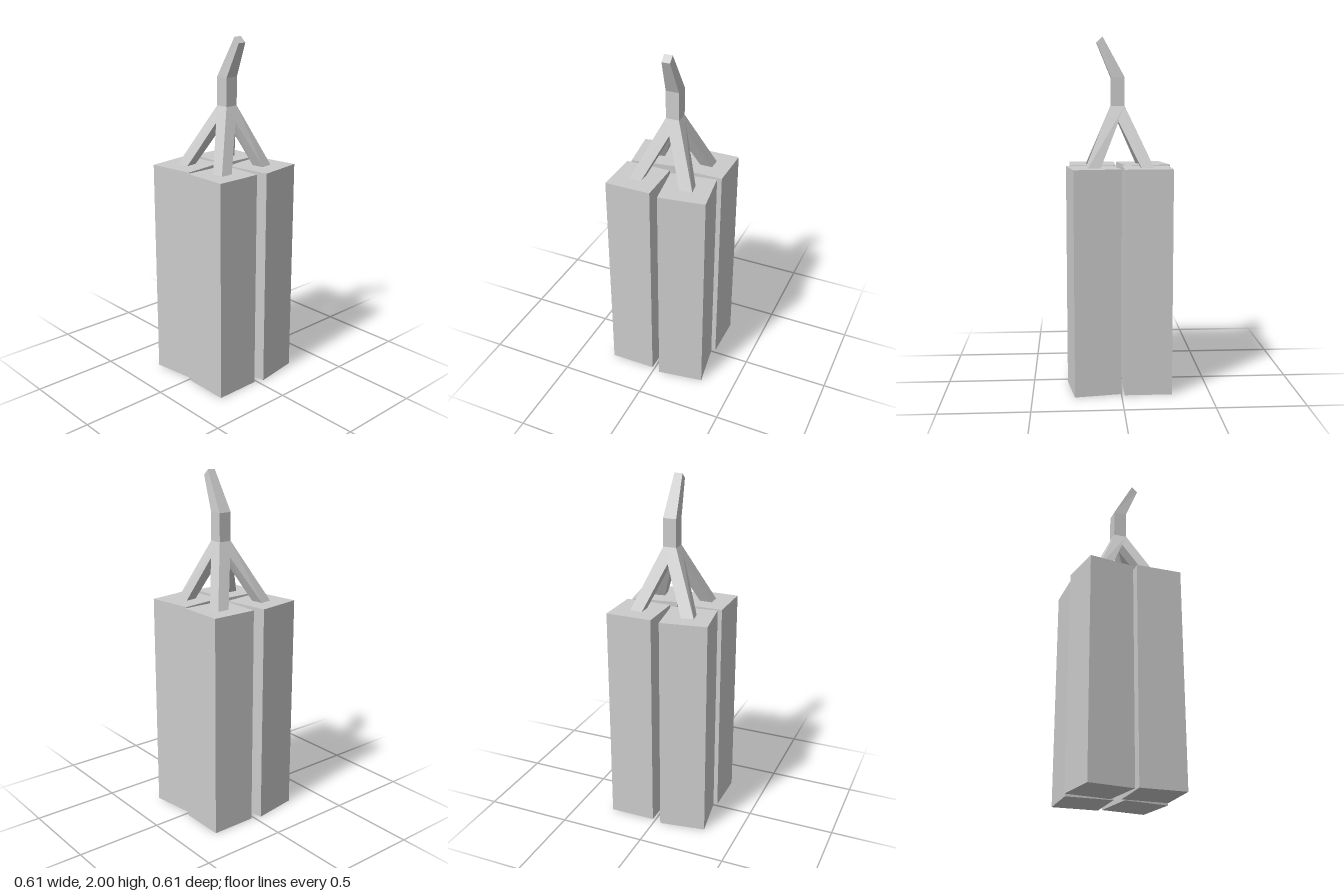
import * as THREE from 'three';

const material = new THREE.MeshStandardMaterial({ color: 0xcccccc, flatShading: true });

// Closed four-sided prism through a list of sections (corners counter-clockwise from above)
function loft(name, sections) {
  const pos = [];
  const quad = (a, b, c, d) => pos.push(...a, ...b, ...c, ...a, ...c, ...d);
  for (let s = 0; s < sections.length - 1; s++) {
    const lo = sections[s], hi = sections[s + 1];
    for (let i = 0; i < 4; i++) {
      const j = (i + 1) % 4;
      quad(lo[i], lo[j], hi[j], hi[i]);
    }
  }
  quad(...[...sections[0]].reverse());
  quad(...sections[sections.length - 1]);
  const geo = new THREE.BufferGeometry();
  geo.setAttribute('position', new THREE.Float32BufferAttribute(pos, 3));
  geo.computeVertexNormals();
  const mesh = new THREE.Mesh(geo, material);
  mesh.name = name;
  return mesh;
}

// Horizontal square section, turned about its centre
function square(cx, y, cz, half, turn = 0) {
  const c = Math.cos(turn), s = Math.sin(turn);
  return [[-1, -1], [-1, 1], [1, 1], [1, -1]].map(([u, v]) => [
    cx + half * (u * c + v * s), y, cz + half * (v * c - u * s)]);
}

export function createModel() {
  const group = new THREE.Group();
  const blockTop = 1.275, joint = 1.615, bend = 1.775;
  const neck = (y) => square(0.008, y, -0.014, 0.0385);

  // Four tall blocks, two of them slightly turned, each with a strut to the stem
  const blocks = [
    ['backRight', -0.151, -0.151, 0],
    ['backLeft', 0.151, -0.151, 0.152],
    ['frontRight', -0.151, 0.151, 0.152],
    ['frontLeft', 0.15, 0.149, 0],
  ];
  for (const [name, x, z, turn] of blocks) {
    const block = new THREE.Mesh(new THREE.BoxGeometry(0.267, blockTop, 0.267), material);
    block.name = name + 'Block';
    block.position.set(x, blockTop / 2, z);
    block.rotation.y = turn;
    group.add(block);
    group.add(loft(name + 'Strut', [square(x, blockTop, z, 0.036, turn), neck(joint)]));
  }

  // Upright stem with a tapering tip bent to one side
  const tip = [[0.093, 2, -0.038], [0.093, 2, 0.01], [0.127, 1.968, 0.01], [0.127, 1.968, -0.038]];
  group.add(loft('bentStem', [neck(joint), neck(bend), tip]));
  return group;
}
